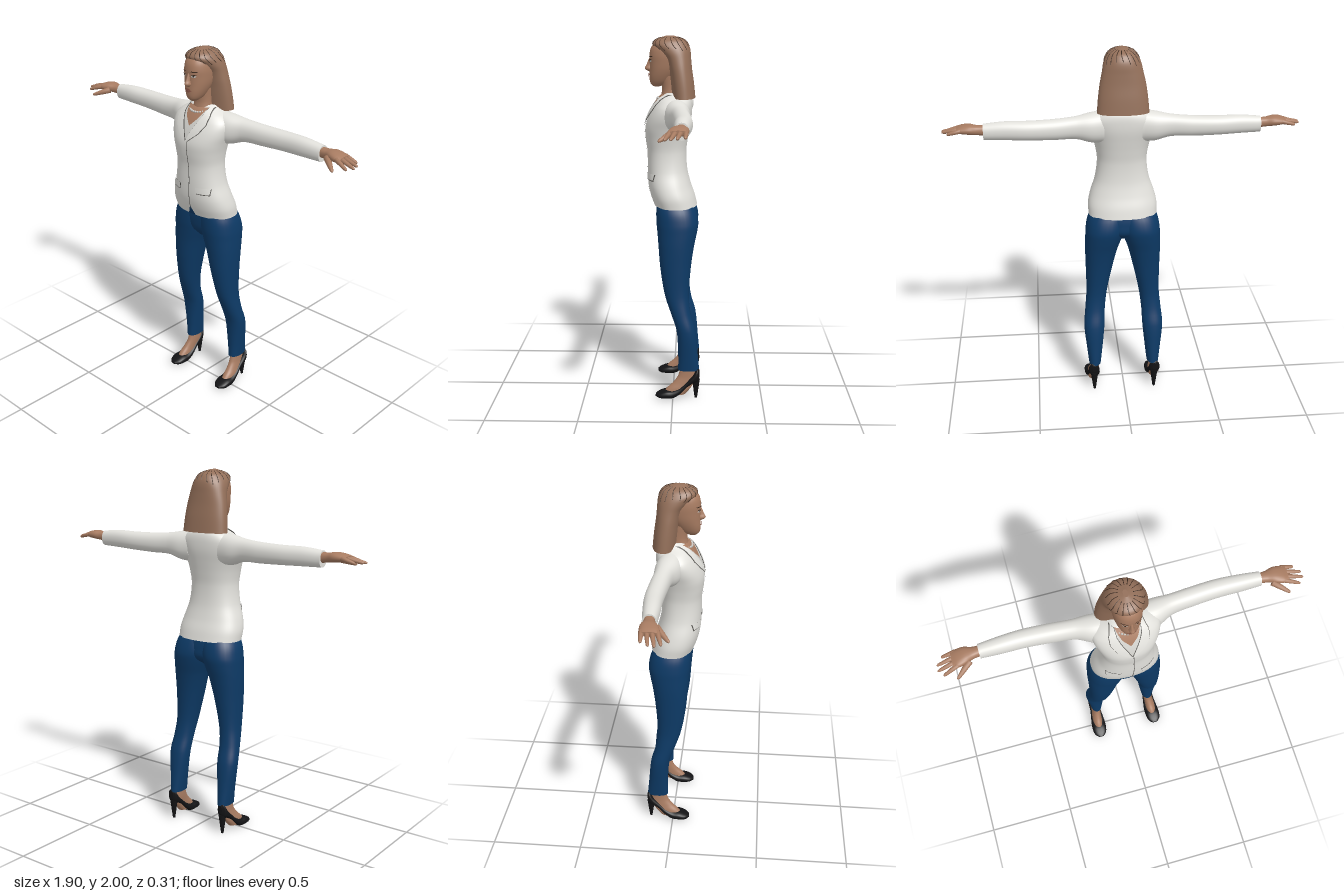
import * as THREE from 'three';
import { mergeVertices } from 'three/addons/utils/BufferGeometryUtils.js';

const mat = (name, color, side = THREE.FrontSide) => {
  const m = new THREE.MeshStandardMaterial({ color, side });
  m.name = name;
  return m;
};

// Smooth interpolation of section rows [t, u0, u1, v0, v1]
function sample(rows, t) {
  let i = 0;
  while (i < rows.length - 2 && t > rows[i + 1][0]) i++;
  const a = rows[i], b = rows[i + 1], h = b[0] - a[0];
  const s = Math.min(1, Math.max(0, (t - a[0]) / h));
  const slope = (j, k) => {
    const p = rows[Math.max(0, j - 1)], q = rows[Math.min(rows.length - 1, j + 1)];
    return (q[k] - p[k]) / (q[0] - p[0]) * h;
  };
  return [1, 2, 3, 4].map(k => (2 * s ** 3 - 3 * s ** 2 + 1) * a[k] + (s ** 3 - 2 * s * s + s) * slope(i, k)
    + (3 * s * s - 2 * s ** 3) * b[k] + (s ** 3 - s * s) * slope(i + 1, k));
}

// Point on a superelliptic section
function ringPoint(rows, t, angle, n) {
  const [u0, u1, v0, v1] = sample(rows, t), c = Math.cos(angle), s = Math.sin(angle);
  return [(u0 + u1) / 2 + (u1 - u0) / 2 * Math.sign(c) * Math.abs(c) ** (2 / n),
    (v0 + v1) / 2 + (v1 - v0) / 2 * Math.sign(s) * Math.abs(s) ** (2 / n)];
}

// Closed loft; u,v are x,z along y / z,y along x / y,x along z
function loft(rows, axis = 'y', n = 2.2, seg = 32, sub = 5) {
  const place = { y: (t, u, v) => [u, t, v], x: (t, u, v) => [t, v, u], z: (t, u, v) => [v, u, t] }[axis];
  const ts = [rows[0][0]], pos = [], idx = [];
  for (let i = 1; i < rows.length; i++)
    for (let k = 1; k <= sub; k++) ts.push(rows[i - 1][0] + (rows[i][0] - rows[i - 1][0]) * k / sub);
  const ring = t => {
    for (let j = 0; j < seg; j++) pos.push(...place(t, ...ringPoint(rows, t, j / seg * Math.PI * 2, n)));
  };
  ts.forEach(ring);
  for (let i = 0; i < ts.length - 1; i++)
    for (let j = 0; j < seg; j++) {
      const a = i * seg + j, b = i * seg + (j + 1) % seg;
      idx.push(a, a + seg, b, b, a + seg, b + seg);
    }
  for (const end of [0, 1]) {
    const t = ts[end ? ts.length - 1 : 0], base = pos.length / 3, [u0, u1, v0, v1] = sample(rows, t);
    ring(t);
    pos.push(...place(t, (u0 + u1) / 2, (v0 + v1) / 2));
    for (let j = 0; j < seg; j++) {
      const a = base + j, b = base + (j + 1) % seg;
      idx.push(base + seg, end ? b : a, end ? a : b);
    }
  }
  return finish(pos, idx);
}

function finish(pos, idx) {
  const g = new THREE.BufferGeometry();
  g.setAttribute('position', new THREE.Float32BufferAttribute(pos, 3));
  g.setIndex(idx);
  g.computeVertexNormals();
  return g;
}

// Thin sheet on the front of a body; outline rows are [y, x0, x1]
function patch(body, n, outline, off, cols = 8, sub = 6) {
  const pos = [], idx = [], lines = [];
  outline.forEach((r, i) => {
    if (!i) return lines.push(r);
    for (let k = 1; k <= sub; k++) lines.push(r.map((v, c) => outline[i - 1][c] + (v - outline[i - 1][c]) * k / sub));
  });
  for (const [y, x0, x1] of lines)
    for (let j = 0; j <= cols; j++) {
      const x = x0 + (x1 - x0) * j / cols, [u0, u1, v0, v1] = sample(body, y);
      const f = Math.min(1, Math.abs((x - (u0 + u1) / 2) / ((u1 - u0) / 2)));
      pos.push(x, y + off * 0.5, (v0 + v1) / 2 + (v1 - v0) / 2 * (1 - f ** n) ** (1 / n) + off);
    }
  for (let i = 0; i < lines.length - 1; i++)
    for (let j = 0; j < cols; j++) {
      const a = i * (cols + 1) + j, b = a + cols + 1;
      idx.push(a, a + 1, b, a + 1, b + 1, b);
    }
  return finish(pos, idx);
}

// Tapered rounded rod between two points
function rod(a, b, r0, r1) {
  const A = new THREE.Vector3(...a), d = new THREE.Vector3(...b).sub(A), L = d.length();
  const profile = [[0, 0], [r0, 0], [(r0 + r1) / 2, L * 0.5], [r1, L * 0.88], [r1 * 0.6, L * 0.97], [0, L]];
  const g = new THREE.LatheGeometry(profile.map(p => new THREE.Vector2(...p)), 12);
  g.applyQuaternion(new THREE.Quaternion().setFromUnitVectors(new THREE.Vector3(0, 1, 0), d.normalize()));
  return g.translate(...a);
}

function mirrored(geo) {
  const g = geo.index ? geo.clone() : mergeVertices(geo);
  const p = g.attributes.position, ix = g.index.array;
  for (let i = 0; i < p.count; i++) p.setX(i, -p.getX(i));
  for (let i = 0; i < ix.length; i += 3) [ix[i], ix[i + 1]] = [ix[i + 1], ix[i]];
  g.computeVertexNormals();
  return g;
}

const sym = rows => rows.map(([y, x, z0, z1]) => [y, -x, x, z0, z1]);

export function createModel() {
  const group = new THREE.Group();
  const jacket = mat('jacket white', 0xe2e1dc, THREE.DoubleSide), blouse = mat('blouse white', 0xd2d1cc, THREE.DoubleSide);
  const skin = mat('skin', 0xa87c62, THREE.DoubleSide), hair = mat('hair brown', 0x94705a);
  const trousers = mat('trouser blue', 0x0d3a66, THREE.DoubleSide), black = mat('shoe black', 0x131315);
  const seam = mat('seam grey', 0x5c5a56, THREE.DoubleSide), bead = mat('pearl', 0xc4c2bd, THREE.DoubleSide);
  const lip = mat('lip', 0x8c5648, THREE.DoubleSide), dark = mat('dark brown', 0x3f2d22, THREE.DoubleSide);

  const add = (name, geo, m) => {
    const mesh = new THREE.Mesh(geo, m);
    mesh.name = name;
    group.add(mesh);
  };
  const pair = (name, geo, m) => {
    add(name + 'Left', geo, m);
    add(name + 'Right', mirrored(geo), m);
  };

  // Jacket body, sleeves and cuffs
  const torso = sym([[1.085, .188, -.13, .105], [1.14, .189, -.116, .125], [1.2, .175, -.095, .138], [1.28, .148, -.076, .142],
    [1.38, .135, -.07, .143], [1.45, .143, -.078, .152], [1.51, .158, -.088, .154], [1.57, .176, -.098, .137],
    [1.62, .176, -.1, .112], [1.655, .145, -.096, .09], [1.68, .1, -.085, .07], [1.7, .072, -.07, .045]]);
  add('jacketBody', loft(torso, 'y', 2.3, 48), jacket);
  pair('sleeve', loft([[.1, -.085, .055, 1.5, 1.672], [.17, -.093, .045, 1.505, 1.664], [.25, -.09, .01, 1.53, 1.651],
    [.36, -.1, -.005, 1.533, 1.643], [.5, -.107, -.015, 1.538, 1.64], [.62, -.1, -.015, 1.542, 1.64],
    [.73, -.09, -.02, 1.545, 1.63]], 'x'), jacket);

  // Neckline, lapels, front seam, pockets, hem notch
  add('blouse', patch(torso, 2.3, [[1.52, 0, 0], [1.6, -.05, .05], [1.685, -.085, .085]], .002), blouse);
  add('chestSkin', patch(torso, 2.3, [[1.598, 0, 0], [1.64, -.04, .04], [1.69, -.066, .066]], .004), skin);
  const lapel = [[1.52, 0, .012], [1.57, .022, .072], [1.615, .046, .1], [1.655, .064, .1], [1.69, .068, .082]];
  pair('lapelEdge', patch(torso, 2.3, lapel.map(([y, a, b]) => [y, a - .003, b + .003]), .005), seam);
  pair('lapel', patch(torso, 2.3, lapel, .008), jacket);
  add('frontSeam', patch(torso, 2.3, [[1.12, .001, .005], [1.3, .012, .016], [1.52, .004, .008]], .003), seam);
  pair('pocketEdge', patch(torso, 2.3, [[1.228, .058, .132], [1.266, .052, .134]], .003), seam);
  pair('pocketFlap', patch(torso, 2.3, [[1.232, .06, .13], [1.266, .054, .132]], .006), jacket);
  add('hemNotch', patch(torso, 2.3, [[1.086, -.025, .025], [1.14, .002, .004]], .002), trousers);

  // Hands
  pair('palm', loft([[.7, -.08, -.03, 1.565, 1.622], [.76, -.082, -.022, 1.572, 1.622], [.8, -.092, -.004, 1.576, 1.627],
    [.84, -.09, .006, 1.58, 1.622], [.868, -.084, 0, 1.588, 1.612]], 'x', 2.3, 20), skin);
  const fingers = [[-.006, .925, .02, 1.575], [-.03, .95, -.008, 1.58], [-.054, .947, -.038, 1.583], [-.078, .918, -.075, 1.583]];
  fingers.forEach(([z, x, tz, ty], i) => pair('finger' + (i + 1), rod([.845, 1.602, z], [x, ty, tz], .013, .008), skin));
  pair('thumb', rod([.785, 1.592, -.015], [.865, 1.56, .05], .018, .009), skin);

  // Trousers
  pair('trouserLeg', loft([[.165, .135, .203, -.148, -.03], [.25, .125, .212, -.14, -.03], [.4, .11, .226, -.125, -.02],
    [.5, .105, .217, -.098, .012], [.6, .092, .208, -.088, .045], [.75, .06, .209, -.098, .07],
    [.87, .03, .211, -.115, .08], [.95, .002, .209, -.132, .087], [1, -.012, .206, -.138, .092],
    [1.06, -.02, .194, -.126, .093], [1.12, -.02, .165, -.1, .09]]), trousers);
  add('trouserSeat', loft(sym([[.935, .02, -.05, .04], [.98, .1, -.112, .075], [1.04, .15, -.118, .087], [1.1, .15, -.11, .09]])), trousers);

  // Feet and heeled shoes
  pair('foot', loft([[.025, .15, .21, -.07, .06], [.06, .15, .208, -.1, .03], [.09, .149, .202, -.118, -.002],
    [.13, .146, .196, -.13, -.03], [.2, .146, .194, -.13, -.048]]), skin);
  pair('shoe', loft([[-.149, .12, .165, .165, .185], [-.14, .1, .177, .15, .204], [-.115, .09, .14, .145, .21],
    [-.08, .065, .105, .145, .21], [-.04, .025, .07, .14, .216], [0, .003, .052, .136, .223],
    [.04, .002, .048, .137, .225], [.075, .004, .036, .146, .218], [.096, .012, .024, .166, .198]], 'z', 2.5, 24), black);
  pair('heel', new THREE.CylinderGeometry(.022, .007, .11, 12).translate(.175, .055, -.13), black);

  // Neck and necklace
  add('neck', loft(sym([[1.6, .06, -.04, .075], [1.67, .055, -.035, .07], [1.72, .05, -.03, .062], [1.79, .052, -.03, .07]])), skin);
  for (let i = 0; i < 30; i++) {
    const a = i / 30 * Math.PI * 2;
    add('necklaceBead' + (i + 1), new THREE.SphereGeometry(.0065, 10, 8)
      .translate(Math.cos(a) * .068, 1.685 - Math.sin(a) * .017, .022 + Math.sin(a) * .066), bead);
  }

  // Head and facial features
  const head = sym([[1.732, .018, .07, .11], [1.748, .036, .03, .125], [1.78, .053, 0, .13], [1.82, .066, -.03, .129],
    [1.86, .072, -.05, .129], [1.9, .074, -.06, .13], [1.94, .068, -.06, .12], [1.97, .05, -.04, .092], [1.99, .015, 0, .05]]);
  add('head', loft(head), skin);
  add('nose', loft(sym([[1.81, .009, .1, .132], [1.825, .016, .1, .155], [1.845, .011, .1, .147], [1.885, .008, .1, .13]]), 'y', 2, 16), skin);
  add('lowerLip', patch(head, 2.2, [[1.78, -.008, .008], [1.791, -.024, .024]], .005), lip);
  add('upperLip', patch(head, 2.2, [[1.792, -.024, .024], [1.8, -.006, .006]], .006), lip);
  pair('eyeWhite', patch(head, 2.2, [[1.861, .026, .036], [1.867, .018, .046], [1.873, .025, .039]], .003), bead);
  pair('iris', patch(head, 2.2, [[1.862, .03, .034], [1.867, .027, .037], [1.873, .029, .035]], .0045), dark);
  pair('upperLid', patch(head, 2.2, [[1.872, .018, .047], [1.876, .024, .04]], .004), dark);
  pair('brow', patch(head, 2.2, [[1.888, .016, .046], [1.893, .02, .052]], .003), dark);

  // Hair with fine strands over the crown
  const locks = sym([[1.672, .138, -.118, .008], [1.75, .131, -.11, .016], [1.82, .121, -.1, .026], [1.88, .108, -.094, .045],
    [1.925, .098, -.09, .085], [1.955, .085, -.08, .113], [1.982, .06, -.056, .094], [2, .012, 0, .04]]);
  add('hair', loft(locks, 'y', 2.2, 48), hair);
  for (let i = 0; i < 18; i++) {
    const a = (i + .5) / 18 * Math.PI * 2, low = 1.935 + .012 * Math.sin(i * 5);
    const pts = [0, .25, .5, .75, 1].map(s => {
      const y = low + (1.992 - low) * s, [x, z] = ringPoint(locks, y, a + s * .15, 2.2);
      return new THREE.Vector3(x, y, z);
    });
    add('hairStrand' + (i + 1), new THREE.TubeGeometry(new THREE.CatmullRomCurve3(pts), 16, .0018, 5), dark);
  }
  return group;
}
